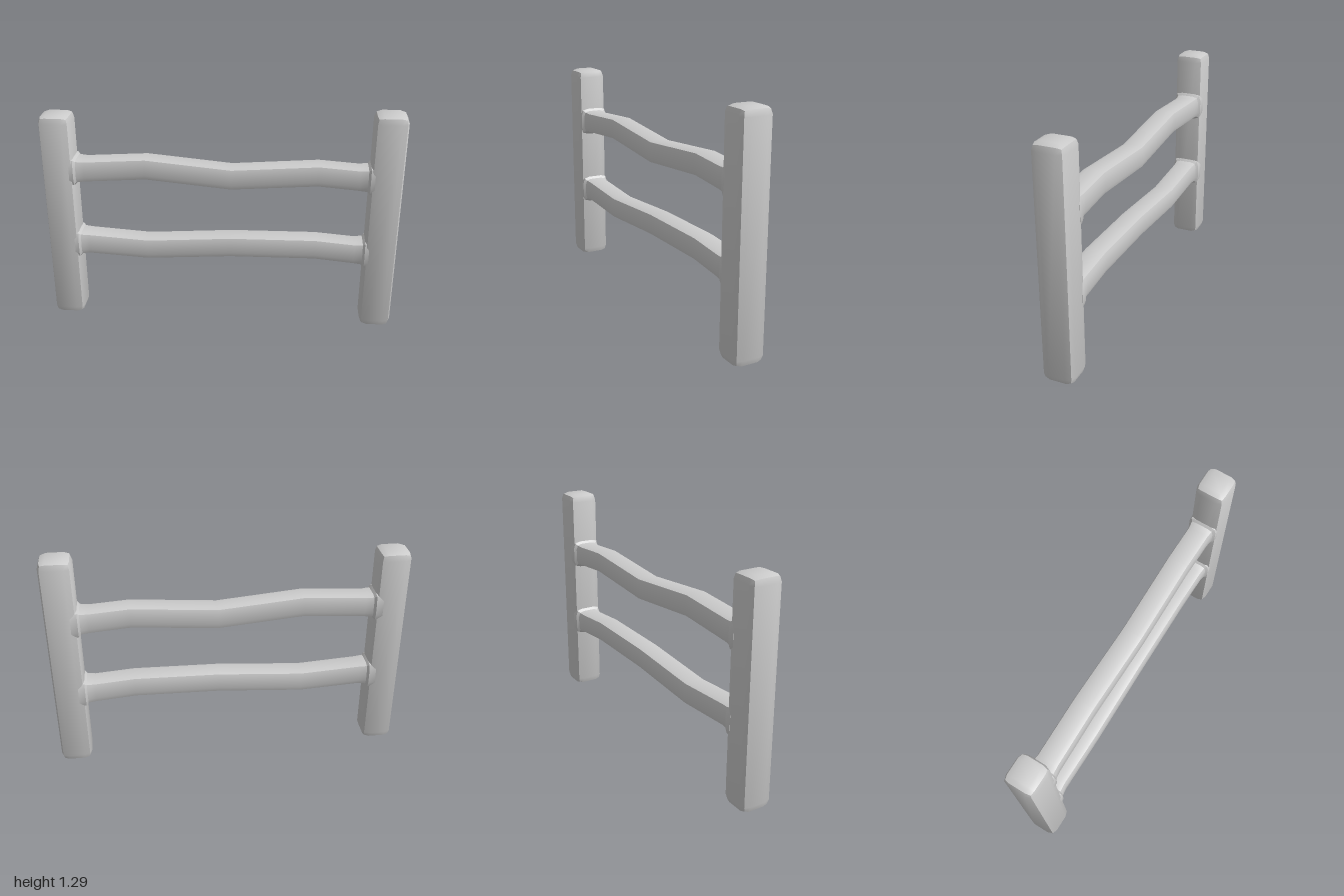
import * as THREE from 'three';
import { toCreasedNormals } from 'three/addons/utils/BufferGeometryUtils.js';

const material = new THREE.MeshStandardMaterial({ color: 0xcccccc });

// Reshape each vertex of a segmented box by a rule, keeping only sharp edges creased
function shapedBox(name, segments, rule) {
  const geometry = new THREE.BoxGeometry(2, 2, 2, ...segments);
  const pos = geometry.attributes.position;
  for (let i = 0; i < pos.count; i++) {
    pos.setXYZ(i, ...rule([pos.getX(i), pos.getY(i), pos.getZ(i)]));
  }
  const mesh = new THREE.Mesh(toCreasedNormals(geometry, THREE.MathUtils.degToRad(32)), material);
  mesh.name = name;
  return mesh;
}

const isOuter = (v) => Math.abs(v) > 0.99;

// Upright post with softly bulging faces and pulled-in edges and corners
function makePost(name, x, height) {
  const half = [0.089, height / 2, 0.089];
  const inset = [0, 0, 0.011, 0.017];
  const post = shapedBox(name, [3, 3, 3], (p) => {
    const outer = p.filter(isOuter).length;
    return p.map((v, i) => Math.sign(v) * (half[i] - (isOuter(v) ? inset[outer] : 0.042)));
  });
  post.position.set(x, height / 2, 0);
  return post;
}

// Crooked rail: each ring is [x, centre y, half height, half depth]
function makeRail(name, bends) {
  const end = bends[0][1];
  const collar = [[0.86, 0.085, 0.086], [0.822, 0.082, 0.084], [0.81, 0.069, 0.072], [0.765, 0.065, 0.066]];
  const rings = [
    ...collar.map(([x, h, d]) => [-x, end, h, d]),
    ...bends.slice(1).map(([x, y]) => [x, y, 0.064, 0.065]),
    ...collar.toReversed().map(([x, h, d]) => [x, end, h, d]),
  ];
  const n = rings.length - 1;
  return shapedBox(name, [n, 3, 3], ([x, y, z]) => {
    const [rx, ry, h, d] = rings[Math.round(((x + 1) / 2) * n)];
    const edge = isOuter(y) && isOuter(z) ? 0.88 : 1;
    const spread = (v) => Math.sign(v) * (isOuter(v) ? edge : 0.5);
    return [rx, ry + h * spread(y), d * spread(z) - 0.003];
  });
}

export function createModel() {
  const group = new THREE.Group();
  group.name = 'fence';
  group.add(
    makePost('rightPost', -0.911, 1.24),
    makePost('leftPost', 0.911, 1.29),
    // The first entry gives the height where the rail meets the posts
    makeRail('upperRail', [[0, 0.913], [-0.42, 0.937], [0.06, 0.893], [0.54, 0.93]]),
    makeRail('lowerRail', [[0, 0.46], [-0.42, 0.439], [0.06, 0.472], [0.54, 0.479]]),
  );
  return group;
}
